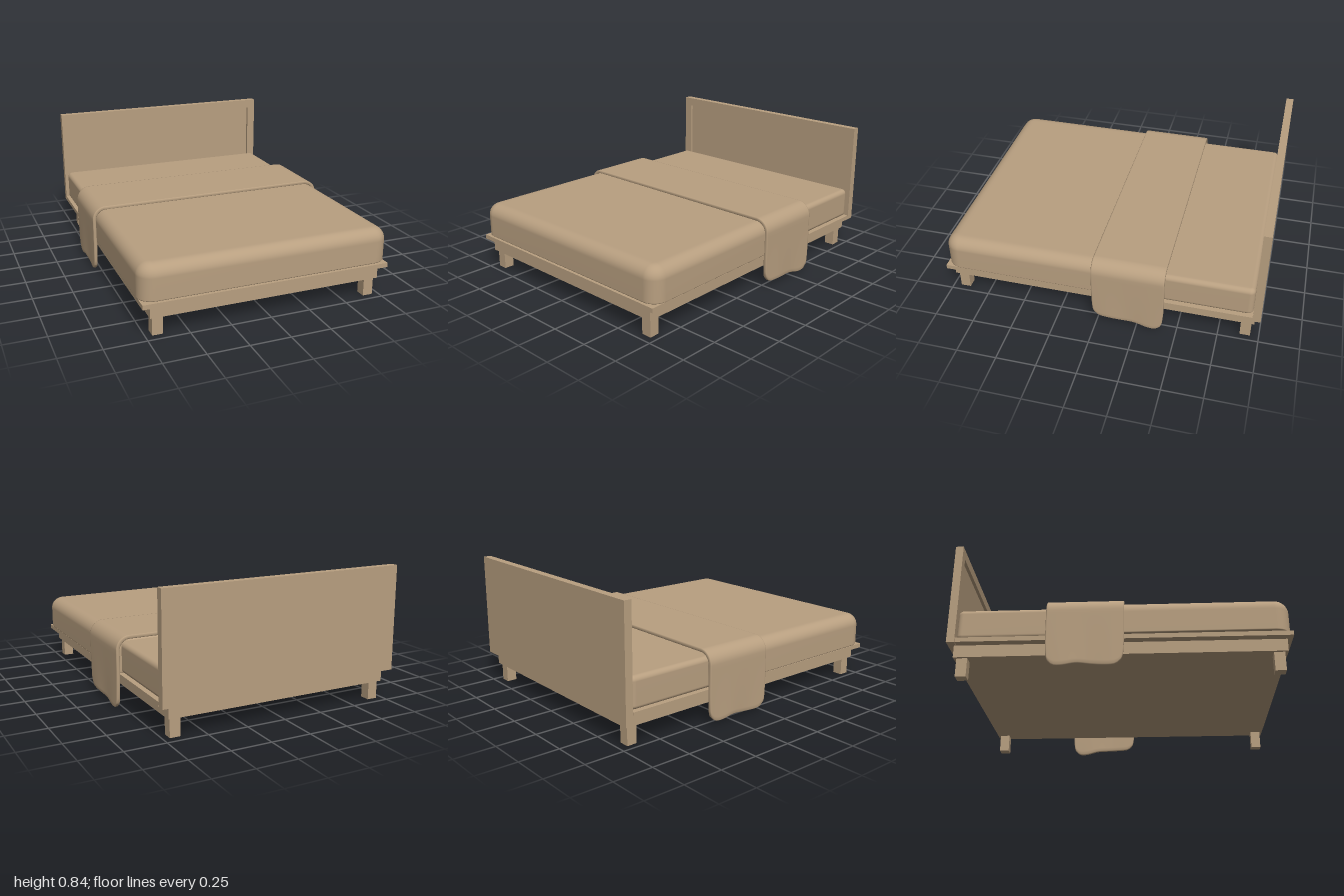
import * as THREE from 'three';

const material = new THREE.MeshStandardMaterial({ color: 0xb89f80, side: THREE.DoubleSide });

function addMesh(parent, name, geometry) {
  const mesh = new THREE.Mesh(geometry, material);
  mesh.name = name;
  parent.add(mesh);
  return mesh;
}

// Box given by its limits on each axis
function addBox(parent, name, [x0, x1], [y0, y1], [z0, z1]) {
  const mesh = addMesh(parent, name, new THREE.BoxGeometry(x1 - x0, y1 - y0, z1 - z0));
  mesh.position.set((x0 + x1) / 2, (y0 + y1) / 2, (z0 + z1) / 2);
}

function buildGeometry(positions, indices) {
  const geometry = new THREE.BufferGeometry();
  geometry.setAttribute('position', new THREE.Float32BufferAttribute(positions, 3));
  geometry.setIndex(indices);
  geometry.computeVertexNormals();
  return geometry;
}

// Soft slab: rounded-rectangle rings stacked from a quarter-round bottom to a quarter-round top
function softSlab(halfX, z0, z1, y0, y1, backCorner, frontCorner, bottomRadius, topRadius) {
  const rings = [[bottomRadius + 0.02, y0]];
  const steps = 8;
  for (let i = 0; i <= steps; i++) {
    const a = (i / steps) * Math.PI / 2;
    rings.push([bottomRadius * (1 - Math.sin(a)), y0 + bottomRadius * (1 - Math.cos(a))]);
  }
  for (let i = 0; i <= steps; i++) {
    const a = (i / steps) * Math.PI / 2;
    rings.push([topRadius * (1 - Math.cos(a)), y1 - topRadius * (1 - Math.sin(a))]);
  }
  rings.push([topRadius + 0.02, y1]);
  const positions = [], indices = [];
  const count = 4 * (steps + 1);
  for (const [inset, y] of rings) {
    for (let q = 0; q < 4; q++) {
      const sx = q === 0 || q === 3 ? 1 : -1;
      const back = q < 2;
      const r = Math.max((back ? backCorner : frontCorner) - inset, 0.004);
      const cx = sx * (halfX - inset - r);
      const cz = back ? z0 + inset + r : z1 - inset - r;
      for (let i = 0; i <= steps; i++) {
        const a = (q + i / steps) * Math.PI / 2;
        positions.push(cx + r * Math.cos(a), y, cz - r * Math.sin(a));
      }
    }
  }
  const last = rings.length - 1;
  const bottom = positions.length / 3, top = bottom + 1;
  positions.push(0, y0, (z0 + z1) / 2, 0, y1, (z0 + z1) / 2);
  for (let i = 0; i < count; i++) {
    const j = (i + 1) % count;
    for (let k = 0; k < last; k++) {
      const a = k * count + i, b = k * count + j;
      indices.push(a, b, b + count, a, b + count, a + count);
    }
    indices.push(bottom, j, i, top, last * count + i, last * count + j);
  }
  return buildGeometry(positions, indices);
}

// Height of the throw's lower hem: gently waved, with rounded corners
function hemHeight(u, side) {
  const curve = new THREE.CatmullRomCurve3(
    (side > 0 ? [0.005, 0.006, 0.025, 0.03, 0.035, 0.04] : [0.02, 0.018, 0.03, 0.022, 0.016, 0.02])
      .map((y, i) => new THREE.Vector3(i / 5, y, 0)));
  const edge = Math.max(0, 1 - Math.min(u, 1 - u) / 0.13);
  return curve.getPoint(u).y + 0.06 * (1 - Math.sqrt(1 - edge * edge));
}

// Throw: a U-shaped cloth section, repeated from back to front
function throwGeometry() {
  const zBack = -0.42, zFront = 0.034, halfX = 0.792, topY = 0.444, radius = 0.075;
  const columns = [0, 0.008, 0.02];
  for (let i = 1; i < 24; i++) columns.push(0.02 + 0.96 * i / 24);
  columns.push(0.98, 0.992, 1);
  const legSteps = 14, arcSteps = 8;
  const positions = [], indices = [];
  let half = 0;

  columns.forEach((u, c) => {
    const rim = c === 0 || c === columns.length - 1;
    // One side, from hem to bed top: centre x, y, outward normal, half thickness
    const sidePath = side => {
      const hem = hemHeight(u, side), points = [];
      for (let i = 0; i < legSteps; i++) {
        const t = i === 0 ? 0 : i === 1 ? 0.015 : (i - 1) / (legSteps - 1);
        const y = hem + t * (topY - radius - hem);
        const sway = 0.003 * Math.sin(u * 9 + side) * Math.pow(1 - t, 2);
        points.push([side * (halfX + sway), y, side, 0, i === 0 ? 0.005 : 0.011]);
      }
      for (let i = 0; i <= arcSteps; i++) {
        const a = (i / arcSteps) * Math.PI / 2;
        const nx = side * Math.cos(a), ny = Math.sin(a);
        points.push([side * (halfX - radius) + radius * nx, topY - radius + radius * ny, nx, ny, 0.011]);
      }
      points.push([side * 0.35, topY, 0, 1, 0.011]);
      return points;
    };
    const path = [...sidePath(1), ...sidePath(-1).reverse()];
    half = path.length;
    const put = ([x, y, nx, ny, t], sign) => {
      const d = sign * t * (rim ? 0.5 : 1);
      const narrow = 1 - 0.07 * Math.pow(Math.max(0, (0.22 - y) / 0.22), 2);
      const z = (zBack + zFront) / 2 + (u - 0.5) * (zFront - zBack) * narrow;
      positions.push(x + nx * d, y + ny * d, z);
    };
    path.forEach(p => put(p, 1));
    path.slice().reverse().forEach(p => put(p, -1));
  });

  const loop = 2 * half;
  for (let c = 0; c < columns.length - 1; c++) {
    for (let j = 0; j < loop; j++) {
      const a = c * loop + j, b = c * loop + (j + 1) % loop;
      indices.push(a, b, b + loop, a, b + loop, a + loop);
    }
  }
  // Close the back and front edges
  const front = (columns.length - 1) * loop;
  for (let k = 0; k < half - 1; k++) {
    const o = k, p = k + 1, i = loop - 1 - k, h = loop - 2 - k;
    indices.push(front + o, front + p, front + h, front + o, front + h, front + i);
    indices.push(o, h, p, o, i, h);
  }
  return buildGeometry(positions, indices);
}

function rectangle(target, x, y0, y1) {
  target.moveTo(-x, y0);
  target.lineTo(x, y0);
  target.lineTo(x, y1);
  target.lineTo(-x, y1);
  target.closePath();
  return target;
}

export function createModel() {
  const bed = new THREE.Group();
  bed.name = 'bed';

  // Platform, base and four legs
  addBox(bed, 'platform', [-0.775, 0.775], [0.19, 0.218], [-0.95, 1]);
  addBox(bed, 'base', [-0.725, 0.725], [0.115, 0.19], [-0.965, 0.97]);
  for (const side of [-1, 1]) {
    for (const z of [-0.915, 0.92]) {
      const x = side * 0.678;
      addBox(bed, 'leg', [x - 0.032, x + 0.032], [0, 0.115], [z - 0.032, z + 0.032]);
    }
  }

  // Headboard: a frame around a recessed panel
  const headboard = new THREE.Group();
  headboard.name = 'headboard';
  const frame = rectangle(new THREE.Shape(), 0.775, 0.19, 0.842);
  frame.holes.push(rectangle(new THREE.Path(), 0.718, 0.25, 0.783));
  const frameMesh = addMesh(headboard, 'headboardFrame',
    new THREE.ExtrudeGeometry(frame, { depth: 0.02, bevelEnabled: false }));
  frameMesh.position.z = -0.972;
  addBox(headboard, 'headboardPanel', [-0.775, 0.775], [0.19, 0.842], [-1, -0.972]);
  bed.add(headboard);

  // Bedding
  addMesh(bed, 'mattress', softSlab(0.758, -0.95, 0.95, 0.218, 0.41, 0.035, 0.06, 0.025, 0.03));
  addMesh(bed, 'duvet', softSlab(0.784, -0.39, 0.992, 0.222, 0.435, 0.03, 0.09, 0.008, 0.075));
  addMesh(bed, 'throwBlanket', throwGeometry());

  return bed;
}
